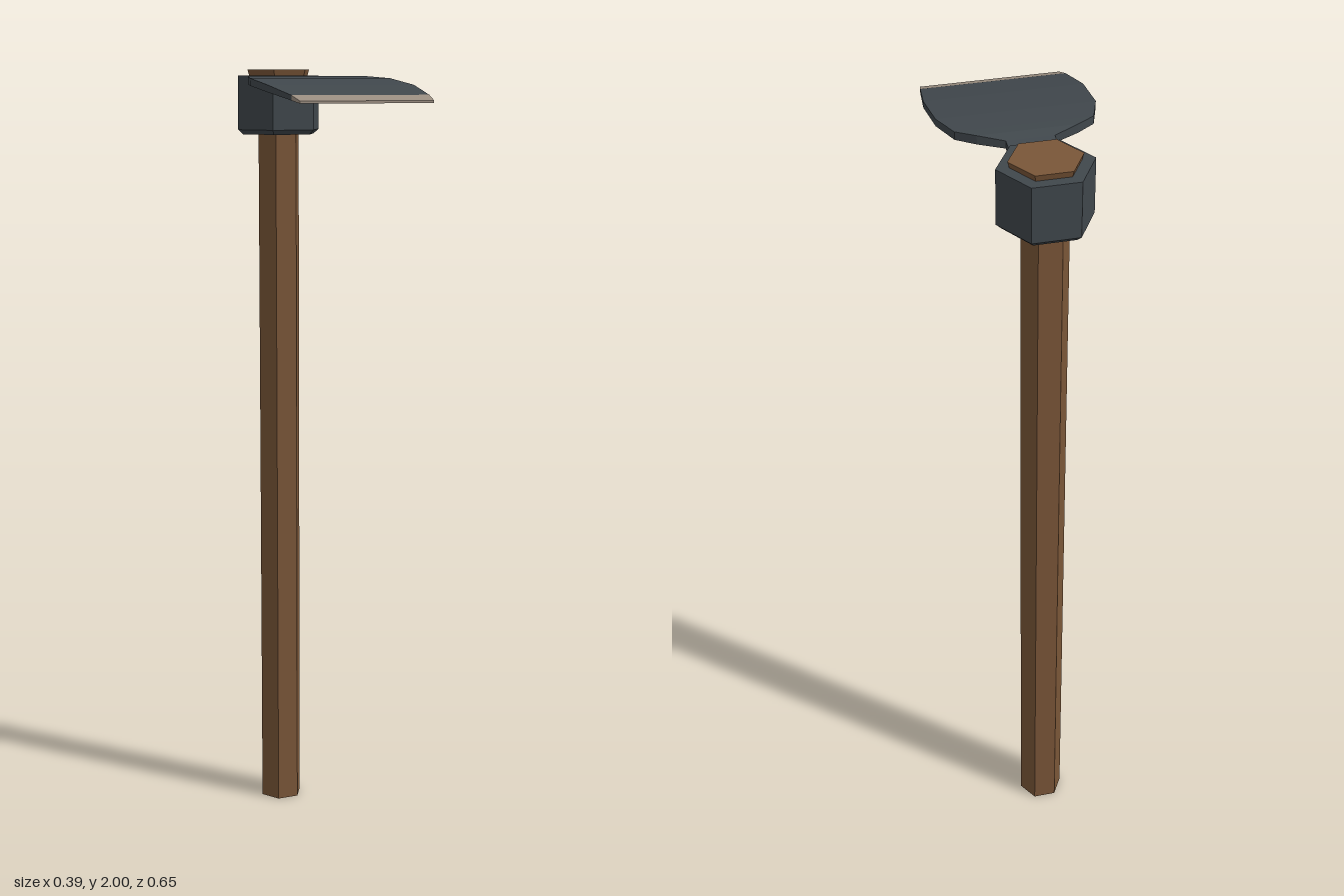
import * as THREE from 'three';

const material = (name, color) => {
  const m = new THREE.MeshStandardMaterial({ color, flatShading: true });
  m.name = name;
  return m;
};

// Hexagonal prism with corners on the x axis, between heights y0 and y1
function hexPrism(name, rBottom, rTop, y0, y1, mat) {
  const geo = new THREE.CylinderGeometry(rTop, rBottom, y1 - y0, 6, 1, false, Math.PI / 6);
  const mesh = new THREE.Mesh(geo, mat);
  mesh.name = name;
  mesh.position.set(0, (y0 + y1) / 2, -0.225);
  return mesh;
}

// Loft of rectangular sections [z, halfWidth, top, bottom], capped at both ends
function loft(name, sections, mat) {
  const pos = [];
  const quad = (a, b, c, d) => pos.push(...a, ...b, ...c, ...a, ...c, ...d);
  const rings = sections.map(([z, w, t, b]) => [[-w, b, z], [w, b, z], [w, t, z], [-w, t, z]]);
  for (let i = 0; i < rings.length - 1; i++) {
    const p = rings[i], q = rings[i + 1];
    for (let k = 0; k < 4; k++) {
      const n = (k + 1) % 4;
      quad(p[k], p[n], q[n], q[k]);
    }
  }
  const first = rings[0], last = rings[rings.length - 1];
  quad(first[3], first[2], first[1], first[0]);
  quad(last[0], last[1], last[2], last[3]);
  const geo = new THREE.BufferGeometry();
  geo.setAttribute('position', new THREE.Float32BufferAttribute(pos, 3));
  geo.computeVertexNormals();
  const mesh = new THREE.Mesh(geo, mat);
  mesh.name = name;
  return mesh;
}

export function createModel() {
  const wood = material('wood', 0x7a5638);
  const steel = material('dark steel', 0x40474c);
  const ground = material('sharpened edge', 0x9a8d80);
  const group = new THREE.Group();
  group.name = 'hoe';

  // Handle, with its flared end showing above the collar
  group.add(hexPrism('handle', 0.057, 0.057, 0, 1.9, wood));
  group.add(hexPrism('handleEnd', 0.057, 0.087, 1.9, 2, wood));

  // Collar with a chamfered lower rim
  group.add(hexPrism('collar', 0.114, 0.114, 1.847, 1.985, steel));
  group.add(hexPrism('collarRim', 0.1, 0.114, 1.835, 1.847, steel));

  // Neck and curved blade
  group.add(loft('blade', [
    [-0.14, 0.057, 1.974, 1.94],
    [-0.115, 0.057, 1.97, 1.948],
    [-0.085, 0.057, 1.975, 1.956],
    [-0.06, 0.118, 1.983, 1.961],
    [-0.03, 0.163, 1.983, 1.963],
    [0.05, 0.19, 1.978, 1.96],
    [0.175, 0.194, 1.962, 1.945],
    [0.285, 0.18, 1.939, 1.927],
  ], steel));

  // Sharpened cutting edge
  group.add(loft('cuttingEdge', [
    [0.285, 0.18, 1.939, 1.927],
    [0.323, 0.174, 1.926, 1.92],
  ], ground));

  return group;
}
